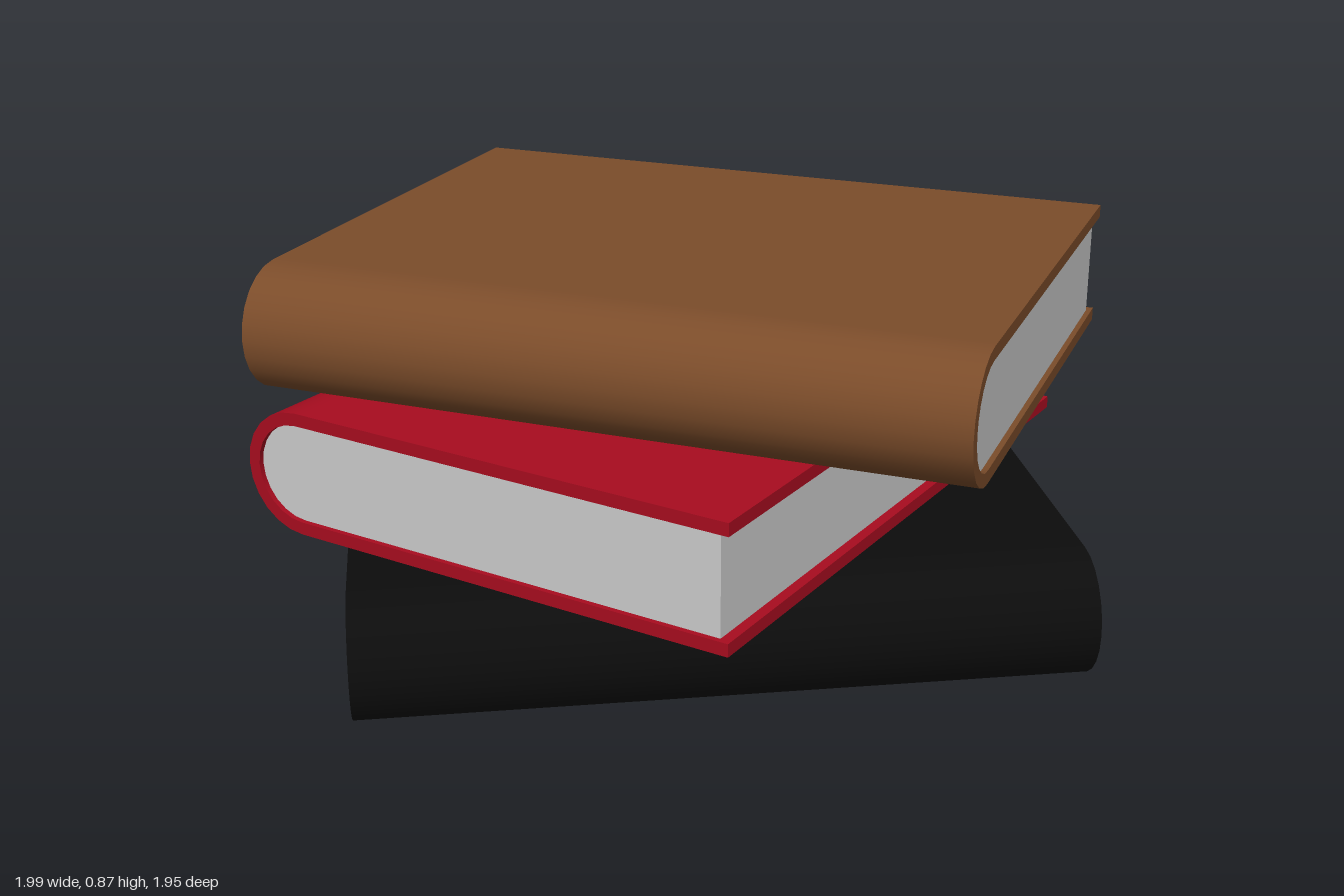
import * as THREE from 'three';
import { toCreasedNormals } from 'three/addons/utils/BufferGeometryUtils.js';

const WIDTH = 1.22, LENGTH = 1.58, HEIGHT = 0.283, BOARD = 0.029;
const R = HEIGHT / 2, EDGE = WIDTH / 2;
const ARC = -EDGE + R; // x where the round spine begins

// Extrude a profile along the book's length, centred, with a smooth spine
function extrude(shape, length) {
  const geo = new THREE.ExtrudeGeometry(shape, { depth: length, bevelEnabled: false, curveSegments: 6 });
  geo.translate(0, 0, -length / 2);
  return toCreasedNormals(geo, 0.7);
}

// Cover: two boards joined by a half-round spine
function coverGeometry() {
  const s = new THREE.Shape();
  s.moveTo(EDGE, 0);
  s.lineTo(ARC + 0.02, 0);
  s.absarc(ARC, R, R, -Math.PI / 2, -Math.PI * 1.5, true);
  s.lineTo(ARC + 0.02, HEIGHT);
  s.lineTo(EDGE, HEIGHT);
  s.lineTo(EDGE, HEIGHT - BOARD);
  s.lineTo(ARC + 0.02, HEIGHT - BOARD);
  s.absarc(ARC, R, R - BOARD, Math.PI / 2, Math.PI * 1.5, false);
  s.lineTo(ARC + 0.02, BOARD);
  s.lineTo(EDGE, BOARD);
  return extrude(s, LENGTH);
}

// Page block: fills the cover, set in a little at the three open sides
function pagesGeometry() {
  const s = new THREE.Shape();
  const x = EDGE - 0.024;
  s.moveTo(x, BOARD);
  s.lineTo(x, HEIGHT - BOARD);
  s.absarc(ARC, R, R - BOARD, Math.PI / 2, Math.PI * 1.5, false);
  return extrude(s, LENGTH - 0.024);
}

export function createModel() {
  const model = new THREE.Group();
  model.name = 'bookStack';
  const cover = coverGeometry(), pages = pagesGeometry();
  const paper = new THREE.MeshStandardMaterial({ color: 0xcccccc });

  // Books from bottom to top, each turned its own way
  const books = [
    { name: 'blackBook', color: 0x0c0c0c, pos: [-0.002, 0, -0.004], turn: 0.866 },
    { name: 'redBook', color: 0xa80c1f, pos: [0.055, 0.294, -0.107], turn: -1.394 },
    { name: 'brownBook', color: 0x7b4c2a, pos: [-0.002, 0.588, -0.004], turn: 0.363 },
  ];
  for (const { name, color, pos, turn } of books) {
    const book = new THREE.Group();
    book.name = name;
    const coverMesh = new THREE.Mesh(cover, new THREE.MeshStandardMaterial({ color }));
    coverMesh.name = 'cover';
    const pagesMesh = new THREE.Mesh(pages, paper);
    pagesMesh.name = 'pages';
    book.add(coverMesh, pagesMesh);
    book.position.set(...pos);
    book.rotation.y = turn;
    model.add(book);
  }
  return model;
}
